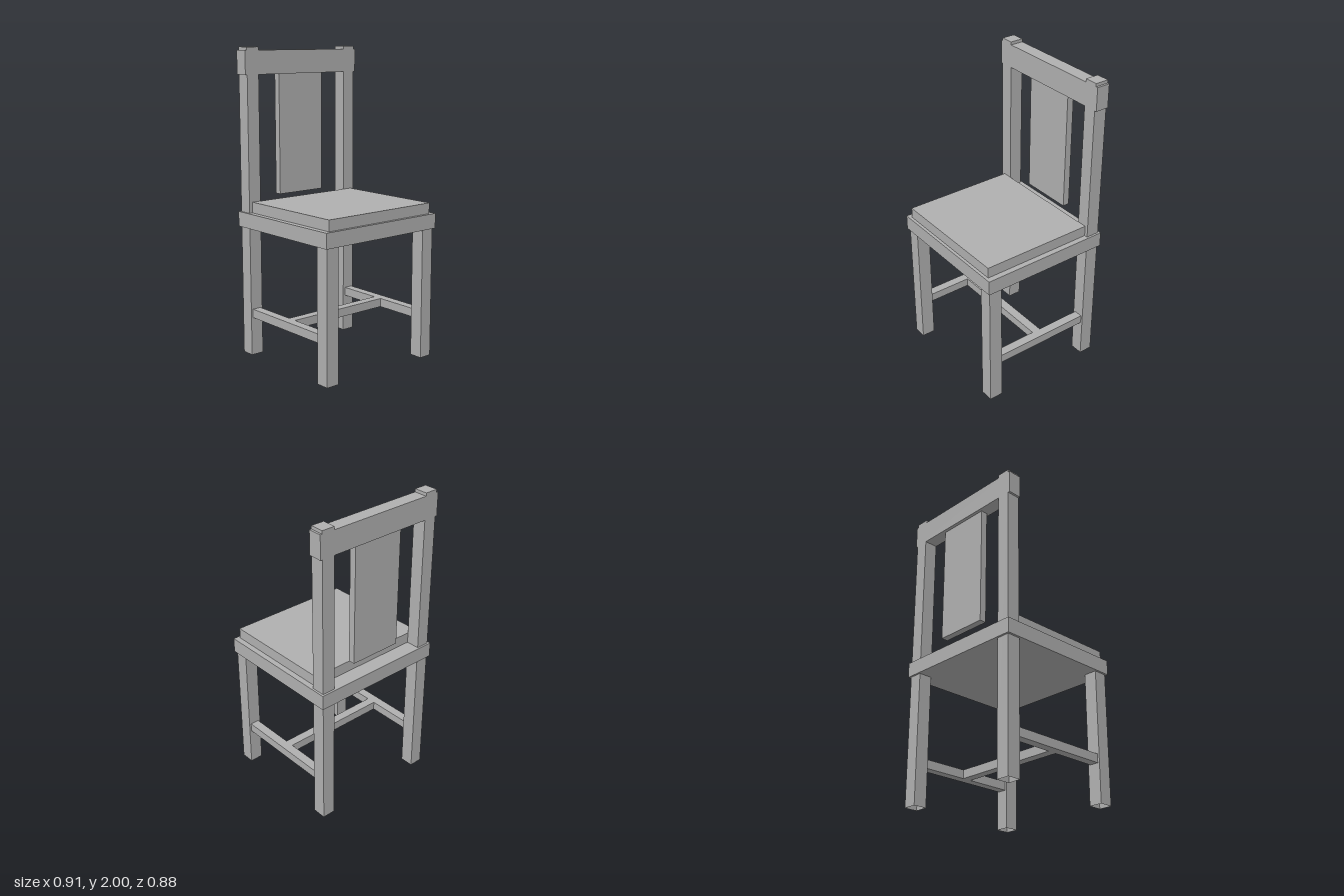
import * as THREE from 'three';

export function createModel() {
  const group = new THREE.Group();
  group.name = 'chair';
  const paint = new THREE.MeshStandardMaterial({ color: 0xb0b0b0, side: THREE.DoubleSide });
  paint.name = 'plain grey';

  // Box given by its extents on each axis
  function block(name, [x0, x1], [y0, y1], [z0, z1], openBottom = false) {
    const geo = new THREE.BoxGeometry(x1 - x0, y1 - y0, z1 - z0);
    if (openBottom) {
      // drop the downward face, which is the fourth group of six indices
      const index = Array.from(geo.index.array);
      index.splice(18, 6);
      geo.setIndex(index);
      geo.clearGroups();
    }
    const mesh = new THREE.Mesh(geo, paint);
    mesh.name = name;
    mesh.position.set((x0 + x1) / 2, (y0 + y1) / 2, (z0 + z1) / 2);
    group.add(mesh);
  }

  // Seat frame and the pad that sits on it, between the back posts
  block('seatFrame', [-0.457, 0.457], [0.853, 0.95], [-0.44, 0.44]);
  block('seatPad', [-0.42, 0.42], [0.95, 1.02], [-0.337, 0.42]);

  // Legs, hollow underneath, and side stretchers, mirrored left and right
  for (const side of [1, -1]) {
    const label = side > 0 ? 'left' : 'right';
    const span = (a, b) => (side > 0 ? [a, b] : [-b, -a]);
    block(label + 'FrontLeg', span(0.355, 0.443), [0, 0.853], [0.337, 0.427], true);
    block(label + 'BackPost', span(0.355, 0.443), [0, 2], [-0.427, -0.337], true);
    block(label + 'Stretcher', span(0.37, 0.43), [0.253, 0.31], [-0.337, 0.337]);
  }

  // Cross stretcher joining the two side stretchers
  block('crossStretcher', [-0.37, 0.37], [0.253, 0.31], [-0.03, 0.03]);

  // Back: top rail around the posts and the hanging central splat
  block('topRail', [-0.457, 0.457], [1.828, 1.98], [-0.427, -0.337]);
  block('backSplat', [-0.178, 0.178], [1.043, 1.828], [-0.405, -0.36]);

  return group;
}
